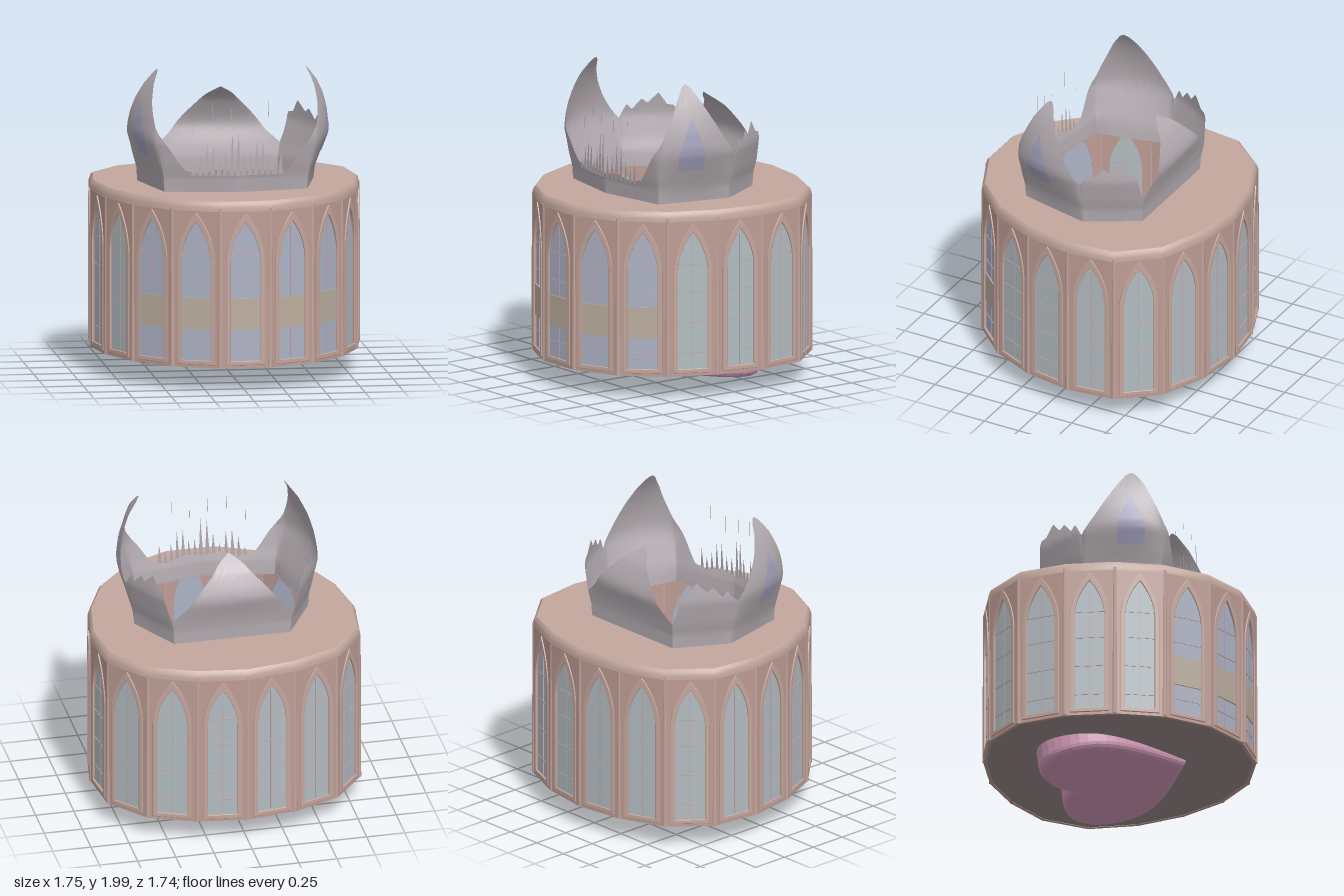
import * as THREE from 'three';

const BAYS = 17, FLOOR = 0.152, TOP = 1.23;
const mat = (color) => new THREE.MeshStandardMaterial({ color, side: THREE.DoubleSide });

const stone = mat(0xbd9c94), trim = mat(0xc4a69d), lid = mat(0xc2a79c), floorMat = mat(0x9a8b8b);
const glass = mat(0xadb3c6), paleGlass = mat(0xb2bcc0), cream = mat(0xbcae9f), lead = mat(0xc0a9b6);
const petalMat = mat(0xb3abb0), petalGlass = mat(0xa5a2be), pink = mat(0xd39bb9);

// Drum plan: right half from front to back, mirrored; broad at the back, narrower at the front
const half = [[0.33, 0.79], [0.585, 0.59], [0.735, 0.375], [0.83, 0.11], [0.868, -0.16], [0.845, -0.42], [0.69, -0.66], [0.4, -0.81]];
const plan = new THREE.CatmullRomCurve3(
  [[0, 0.858], ...half, [0, -0.88], ...half.map(([x, z]) => [-x, z]).reverse()].map(([x, z]) => new THREE.Vector3(x, 0, z)), true);
plan.arcLengthDivisions = 400;
// Drum corners, one between each pair of bays
const posts = Array.from({ length: BAYS }, (_, i) => plan.getPointAt((i + 0.5) / BAYS));

function add(parent, name, geometry, material, x = 0, y = 0, z = 0) {
  const m = new THREE.Mesh(geometry, material);
  m.name = name;
  m.position.set(x, y, z);
  parent.add(m);
  return m;
}

// Pointed arch outline, used for openings, panes and mouldings
function arch(w, bottom, spring, apex, Type = THREE.Shape) {
  const s = new Type();
  s.moveTo(-w, bottom);
  s.lineTo(w, bottom);
  s.lineTo(w, spring);
  s.quadraticCurveTo(w * 0.92, spring + (apex - spring) * 0.55, 0, apex);
  s.quadraticCurveTo(-w * 0.92, spring + (apex - spring) * 0.55, -w, spring);
  s.lineTo(-w, bottom);
  return s;
}

function extrude(shape, depth, bevel = 0) {
  return new THREE.ExtrudeGeometry(shape, {
    depth, curveSegments: 10, bevelEnabled: bevel > 0,
    bevelSize: bevel, bevelThickness: bevel, bevelSegments: 4,
  });
}

// One wall bay of half width w with its recessed window; z is outward from the wall face
function makeBay(w, front) {
  const bay = new THREE.Group();
  bay.name = 'windowBay';
  const wall = new THREE.Shape();
  wall.moveTo(-w, FLOOR);
  wall.lineTo(w, FLOOR);
  wall.lineTo(w, 1.18);
  wall.lineTo(-w, 1.18);
  wall.holes.push(arch(0.105, 0.19, 0.85, 1.11, THREE.Path));
  add(bay, 'wallPanel', extrude(wall, 0.02), stone, 0, 0, -0.02);

  const frame = arch(0.122, 0.175, 0.85, 1.15);
  frame.holes.push(arch(0.1, 0.195, 0.85, 1.1, THREE.Path));
  add(bay, 'windowMoulding', extrude(frame, 0.004, 0.004), trim);

  const zPane = -0.012;
  add(bay, 'windowPane', new THREE.ShapeGeometry(arch(0.11, 0.18, 0.85, 1.12), 10),
    front ? glass : paleGlass, 0, 0, zPane);
  if (front) add(bay, 'windowBand', new THREE.BoxGeometry(0.205, 0.2, 0.012), cream, 0, 0.5, zPane + 0.002);

  // Slender tracery
  add(bay, 'mullion', new THREE.BoxGeometry(0.006, 0.86, 0.004), lead, 0, 0.63, zPane + 0.002);
  for (const y of [0.3, 0.5, 0.7, 0.88]) {
    add(bay, 'crossbar', new THREE.BoxGeometry(0.2, 0.006, 0.004), lead, 0, y, zPane + 0.002);
  }
  return bay;
}

// Crown footprint [x, z], running anticlockwise seen from above
const corners = [[-0.46, 0.385], [0, 0.465], [0.46, 0.385], [0.57, -0.09], [0.38, -0.42], [-0.38, -0.42], [-0.57, -0.09]];
// Overall outward flare of the crown by height
const flare = [[1.23, 1], [1.32, 1.01], [1.4, 1.045], [1.55, 1.09], [1.7, 1.06], [2, 1]];

// Linear lookup in a list of [key, value] pairs
function lookup(list, k) {
  for (let i = 1; i < list.length; i++) {
    if (k <= list[i][0]) {
      const [a, va] = list[i - 1], [b, vb] = list[i];
      return va + (vb - va) * Math.max(0, (k - a) / (b - a));
    }
  }
  return list[list.length - 1][1];
}

function buildGeometry(pos, idx) {
  const g = new THREE.BufferGeometry();
  g.setAttribute('position', new THREE.Float32BufferAttribute(pos, 3));
  if (idx) g.setIndex(idx);
  g.computeVertexNormals();
  return g;
}

// A curved sheet over one footprint edge; heights give its top, curl its lean by height
function sheet(a, b, heights, curl, { u0 = 0, u1 = 1, y0 = TOP - 0.01, push = 0 } = {}) {
  const NU = 36, NV = 16, pos = [], idx = [];
  const dx = b[0] - a[0], dz = b[1] - a[1], len = Math.hypot(dx, dz);
  for (let i = 0; i <= NU; i++) {
    const u = u0 + (u1 - u0) * i / NU;
    const top = lookup(heights, i / NU), bow = Math.sqrt(Math.max(0, Math.sin(Math.PI * u)));
    for (let j = 0; j <= NV; j++) {
      const y = y0 + (top - y0) * j / NV, s = lookup(flare, y);
      const o = lookup(curl, y) * bow + push;
      pos.push((a[0] + dx * u) * s - dz / len * o, y, (a[1] + dz * u) * s + dx / len * o);
      if (i < NU && j < NV) {
        const p = i * (NV + 1) + j, q = p + NV + 1;
        idx.push(p, q, q + 1, p, q + 1, p + 1);
      }
    }
  }
  return buildGeometry(pos, idx);
}

function makeCrown() {
  const crown = new THREE.Group();
  crown.name = 'crown';
  const flip = (h) => h.map(([u, y]) => [1 - u, y]).reverse();
  const frontH = [[0, 1.36], [0.25, 1.38], [0.5, 1.35], [0.7, 1.37], [0.78, 1.43], [0.88, 1.52], [1, 1.6]];
  const sideH = [[0, 1.6], [0.08, 1.71], [0.22, 1.88], [0.34, 1.98], [0.4, 2], [0.47, 1.97], [0.6, 1.86], [0.82, 1.67], [1, 1.53]];
  const cornerH = [[0, 1.53], [0.12, 1.62], [0.2, 1.58], [0.35, 1.65], [0.45, 1.62], [0.62, 1.69], [0.75, 1.61], [0.88, 1.6], [0.93, 1.48], [1, 1.4]];
  const backH = [[0, 1.4], [0.12, 1.48], [0.25, 1.61], [0.4, 1.74], [0.5, 1.79], [0.6, 1.74], [0.75, 1.61], [0.88, 1.48], [1, 1.4]];
  const lowCurl = [[1.23, 0], [1.4, 0.01], [1.6, 0.02]];
  const sideCurl = [[1.23, 0], [1.4, 0.025], [1.6, 0.07], [1.7, 0.07], [1.8, 0.055], [1.9, 0.025], [2, -0.03]];
  const backCurl = [[1.23, 0], [1.4, 0], [1.52, 0.02], [1.6, 0], [1.7, -0.04], [1.79, -0.13]];
  const parts = [
    ['frontRim', flip(frontH), lowCurl], ['frontRim', frontH, lowCurl],
    ['sidePetal', sideH, sideCurl], ['cornerPetal', cornerH, lowCurl],
    ['backPetal', backH, backCurl], ['cornerPetal', flip(cornerH), lowCurl],
    ['sidePetal', flip(sideH), sideCurl],
  ];
  parts.forEach(([name, h, curl], i) => {
    const a = corners[i], b = corners[(i + 1) % corners.length];
    add(crown, name, sheet(a, b, h, curl), petalMat);
    if (name === 'sidePetal') { // pointed inlay on the outer face
      const inlay = [[0, 1.56], [0.25, 1.69], [0.5, 1.79], [0.75, 1.69], [1, 1.56]];
      const mid = i === 2 ? 0.4 : 0.6;
      add(crown, 'petalInlay', sheet(a, b, inlay, curl, { u0: mid - 0.17, u1: mid + 0.17, y0: 1.45, push: 0.004 }), petalGlass);
    }
  });

  // Broken shards standing on the front rim, tallest in the middle
  const pos = [];
  for (let i = 0; i < 15; i++) {
    const x = -0.28 + i * 0.04, z = 0.49 - Math.abs(x) * 0.16;
    const h = 0.05 + 0.24 * Math.abs(Math.sin(i * 2.4)) * (1 - Math.abs(x) * 2.2);
    pos.push(x - 0.016, 1.34, z, x + 0.016, 1.34, z, x + 0.006, 1.36 + h, z);
    if (i % 3 === 0) { // detached slivers above
      const y = 1.6 + 0.1 * Math.abs(Math.sin(i * 1.7)), w = z - 0.015;
      pos.push(x, y, w, x + 0.006, y + 0.02, w, x + 0.002, y + 0.12, w);
    }
  }
  add(crown, 'frontShards', buildGeometry(pos), petalMat);
  return crown;
}

function heartShape() {
  const s = new THREE.Shape();
  s.moveTo(0, -0.37);
  s.bezierCurveTo(0.16, -0.27, 0.42, -0.13, 0.5, 0.03);
  s.bezierCurveTo(0.56, 0.17, 0.52, 0.4, 0.31, 0.41);
  s.bezierCurveTo(0.17, 0.41, 0.06, 0.36, 0, 0.27);
  s.bezierCurveTo(-0.06, 0.36, -0.17, 0.41, -0.31, 0.41);
  s.bezierCurveTo(-0.52, 0.4, -0.56, 0.17, -0.5, 0.03);
  s.bezierCurveTo(-0.42, -0.13, -0.16, -0.27, 0, -0.37);
  return s;
}

// Flat horizontal plate in the drum's plan
function plate(parent, name, scale, y, material, hole) {
  const s = new THREE.Shape(posts.map((p) => new THREE.Vector2(p.x * scale, -p.z * scale)));
  if (hole) s.holes.push(new THREE.Path(hole.map(([x, z]) => new THREE.Vector2(x, -z))));
  add(parent, name, new THREE.ShapeGeometry(s), material, 0, y, 0).rotation.x = -Math.PI / 2;
}

export function createModel() {
  const model = new THREE.Group();
  model.name = 'crownedDrum';

  // Wall of bays with a rib at each corner
  posts.forEach((b, i) => {
    const a = posts[(i + BAYS - 1) % BAYS];
    const bay = makeBay(a.distanceTo(b) / 2, i <= 2 || i >= BAYS - 2);
    bay.position.set((a.x + b.x) / 2, 0, (a.z + b.z) / 2);
    bay.rotation.y = Math.atan2(a.z - b.z, b.x - a.x);
    model.add(bay);
    add(model, 'rib', new THREE.CylinderGeometry(0.014, 0.018, 1.03, 8), trim, b.x * 0.988, 0.67, b.z * 0.988);
  });

  // Lid with the opening under the crown, and a shoulder sloping down to the walls
  plate(model, 'lid', 0.975, TOP, lid, corners);
  const rings = [[1.002, 1.165], [1, 1.19], [0.992, 1.215], [0.975, TOP]], pos = [], idx = [];
  rings.forEach(([s, y], j) => posts.forEach((p, i) => {
    pos.push(p.x * s, y, p.z * s);
    if (j === rings.length - 1) return;
    const k = (i + 1) % BAYS, r = j * BAYS, t = r + BAYS;
    idx.push(r + i, r + k, t + k, r + i, t + k, t + i);
  }));
  add(model, 'shoulder', buildGeometry(pos, idx), lid);

  plate(model, 'floor', 1, FLOOR + 0.003, floorMat);

  // Tilted heart set through the floor
  const heart = new THREE.Group();
  heart.name = 'heart';
  heart.position.set(0, 0.054, 0);
  heart.rotation.x = -0.125;
  const slab = add(heart, 'heartSlab', extrude(heartShape(), 0.1, 0.05), pink, 0, 0.05, 0);
  slab.rotation.x = -Math.PI / 2;
  model.add(heart);

  model.add(makeCrown());
  return model;
}
